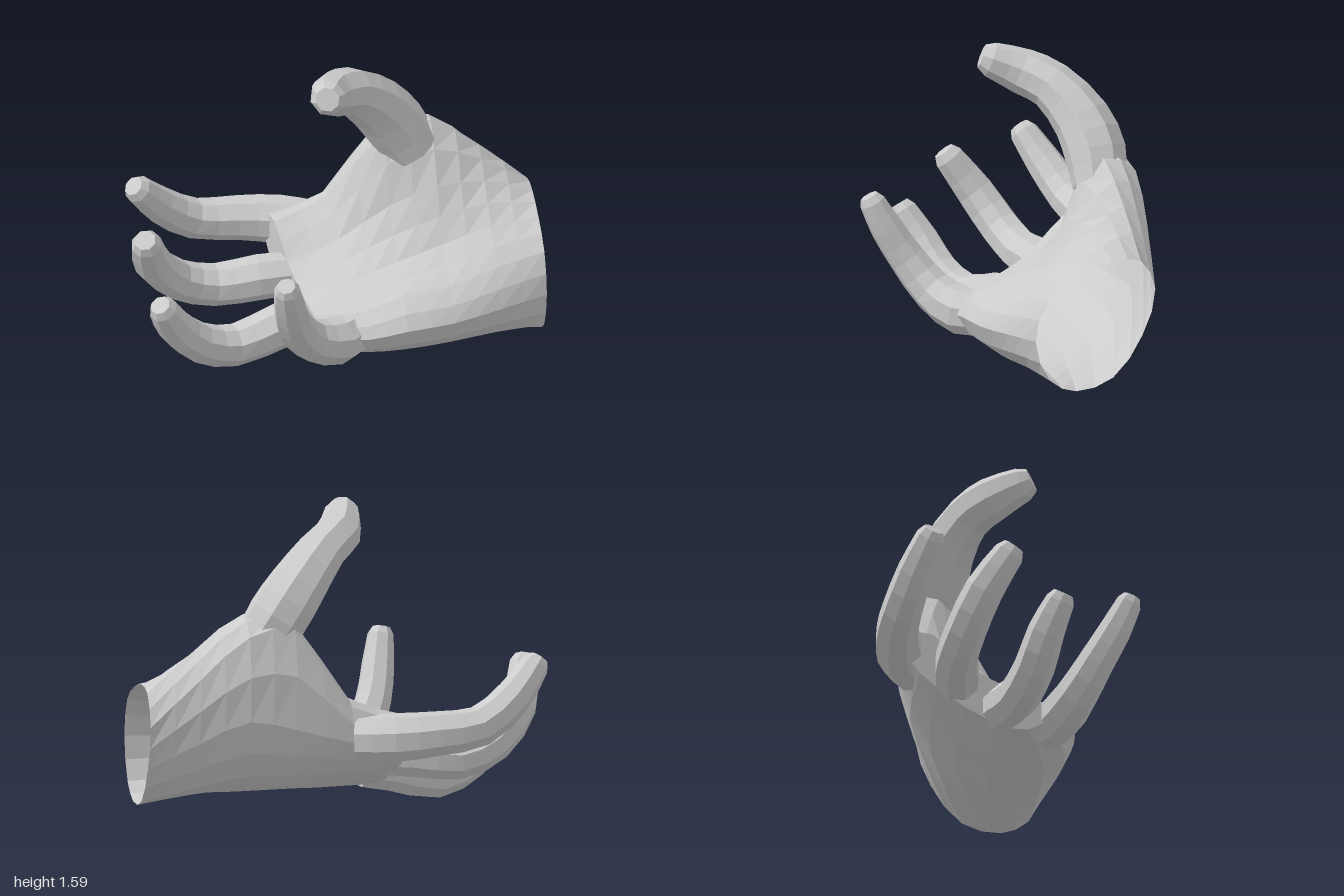
import * as THREE from 'three';

const V = (x, y, z) => new THREE.Vector3(x, y, z);
const material = new THREE.MeshStandardMaterial({ color: 0xcccccc, flatShading: true, side: THREE.DoubleSide });

// Skin a series of equal-sized loops (counter-clockwise about the travel direction); open start, capped end
function loft(name, loops) {
  const n = loops[0].length, last = loops.length - 1, pos = [], idx = [];
  loops.forEach(l => l.forEach(p => pos.push(p.x, p.y, p.z)));
  for (let i = 0; i < last; i++) {
    for (let j = 0; j < n; j++) {
      const a = i * n + j, b = i * n + (j + 1) % n;
      idx.push(a, b, a + n, b, b + n, a + n);
    }
  }
  const c = V(0, 0, 0);
  loops[last].forEach(p => c.addScaledVector(p, 1 / n));
  pos.push(c.x, c.y, c.z);
  for (let j = 0; j < n; j++) idx.push(loops.length * n, last * n + j, last * n + (j + 1) % n);
  const g = new THREE.BufferGeometry();
  g.setAttribute('position', new THREE.Float32BufferAttribute(pos, 3));
  g.setIndex(idx);
  g.computeVertexNormals();
  const mesh = new THREE.Mesh(g, material);
  mesh.name = name;
  return mesh;
}

// Eight-sided digit through [x, y, z, radius] joints, with a blunt rounded tip
function digit(name, joints) {
  const curve = new THREE.CatmullRomCurve3(joints.map(p => V(p[0], p[1], p[2])));
  const radii = new THREE.CatmullRomCurve3(joints.map((p, i) => V(i, p[3], 0)));
  const steps = (joints.length - 1) * 2, normal = V(0, 1, 0), loops = [];
  const ring = (c, t, r) => {
    normal.addScaledVector(t, -normal.dot(t)).normalize();
    const side = t.clone().cross(normal);
    loops.push(Array.from({ length: 8 }, (_, j) => {
      const a = (j + 0.5) / 8 * Math.PI * 2;
      return c.clone().addScaledVector(normal, r * Math.cos(a)).addScaledVector(side, r * Math.sin(a));
    }));
  };
  for (let i = 0; i <= steps; i++) {
    ring(curve.getPoint(i / steps), curve.getTangent(i / steps), radii.getPoint(i / steps).y);
  }
  const end = curve.getPoint(1), t = curve.getTangent(1), r = joints[joints.length - 1][3];
  ring(end.clone().addScaledVector(t, r * 0.55), t, r * 0.7);
  return loft(name, loops);
}

// Palm cross-sections from wrist to knuckles: [across, height], little-finger edge first, over the palm, back under
const sections = [
  { t: 0, p: [[.32, .36], [.25, .57], [.08, .68], [-.1, .74], [-.25, .73], [-.33, .57], [-.26, .33], [-.1, .12], [.1, .07], [.24, .14]] },
  { t: .25, p: [[.38, .33], [.28, .52], [.1, .66], [-.08, .83], [-.25, .95], [-.38, .82], [-.36, .48], [-.2, .2], [.05, .11], [.27, .14]] },
  { t: .5, p: [[.43, .3], [.31, .45], [.1, .58], [-.05, .83], [-.24, 1.12], [-.41, 1.04], [-.44, .6], [-.28, .27], [0, .12], [.28, .11]] },
  { t: .74, p: [[.44, .28], [.31, .42], [.1, .5], [-.1, .72], [-.24, 1.08], [-.39, 1.06], [-.46, .55], [-.3, .27], [0, .12], [.28, .09]] },
  { t: .98, p: [[.4, .23], [.3, .34], [.1, .42], [-.14, .53], [-.34, .68], [-.43, .65], [-.46, .47], [-.3, .27], [0, .12], [.25, .08]] },
  { t: 1.23, p: [[.29, .2], [.2, .29], [.06, .33], [-.13, .42], [-.31, .57], [-.42, .56], [-.44, .43], [-.28, .27], [0, .12], [.18, .1]] },
];

function palm() {
  const along = V(-.745, 0, .667), across = V(.667, 0, .745), around = 20, lengthwise = 10;
  const rings = sections.map(({ t, p }) => {
    // The knuckle line slants forward on the index side
    const skew = Math.max(0, t - .74) * .45;
    const c = new THREE.CatmullRomCurve3(p.map(([s, y]) =>
      V(.8, y, -.68).addScaledVector(along, t - skew * s).addScaledVector(across, s)), true);
    return Array.from({ length: around }, (_, j) => c.getPoint(j / around));
  });
  // Smooth rails along the hand
  const rails = rings[0].map((_, j) => new THREE.CatmullRomCurve3(rings.map(r => r[j])));
  return loft('palm', Array.from({ length: lengthwise + 1 }, (_, i) =>
    rails.map(r => r.getPoint(i / lengthwise))));
}

export function createModel() {
  const hand = new THREE.Group();
  hand.name = 'hand';
  hand.add(
    palm(),
    digit('thumb', [[.2, .96, -.47, .14], [.125, 1.1, -.42, .16], [.065, 1.25, -.32, .15],
      [.025, 1.4, -.14, .125], [.02, 1.455, .02, .118], [.085, 1.52, .17, .09]]),
    digit('indexFinger', [[-.26, .48, -.27, .12], [-.45, .49, -.2, .125], [-.62, .505, -.08, .115],
      [-.78, .53, .08, .105], [-.88, .66, .25, .095], [-.925, .8, .385, .075]]),
    digit('middleFinger', [[-.24, .33, 0, .11], [-.37, .32, .11, .118], [-.55, .29, .25, .11],
      [-.67, .36, .41, .105], [-.72, .52, .57, .1], [-.68, .7, .7, .08]]),
    digit('ringFinger', [[-.05, .21, .13, .11], [-.14, .18, .26, .118], [-.3, .11, .46, .11],
      [-.4, .18, .64, .105], [-.465, .32, .77, .095], [-.475, .46, .87, .075]]),
    digit('littleFinger', [[.23, .21, .14, .11], [.21, .2, .28, .125], [.155, .27, .46, .11],
      [.15, .42, .6, .095], [.18, .58, .7, .085], [.205, .72, .77, .068]]),
  );
  return hand;
}
